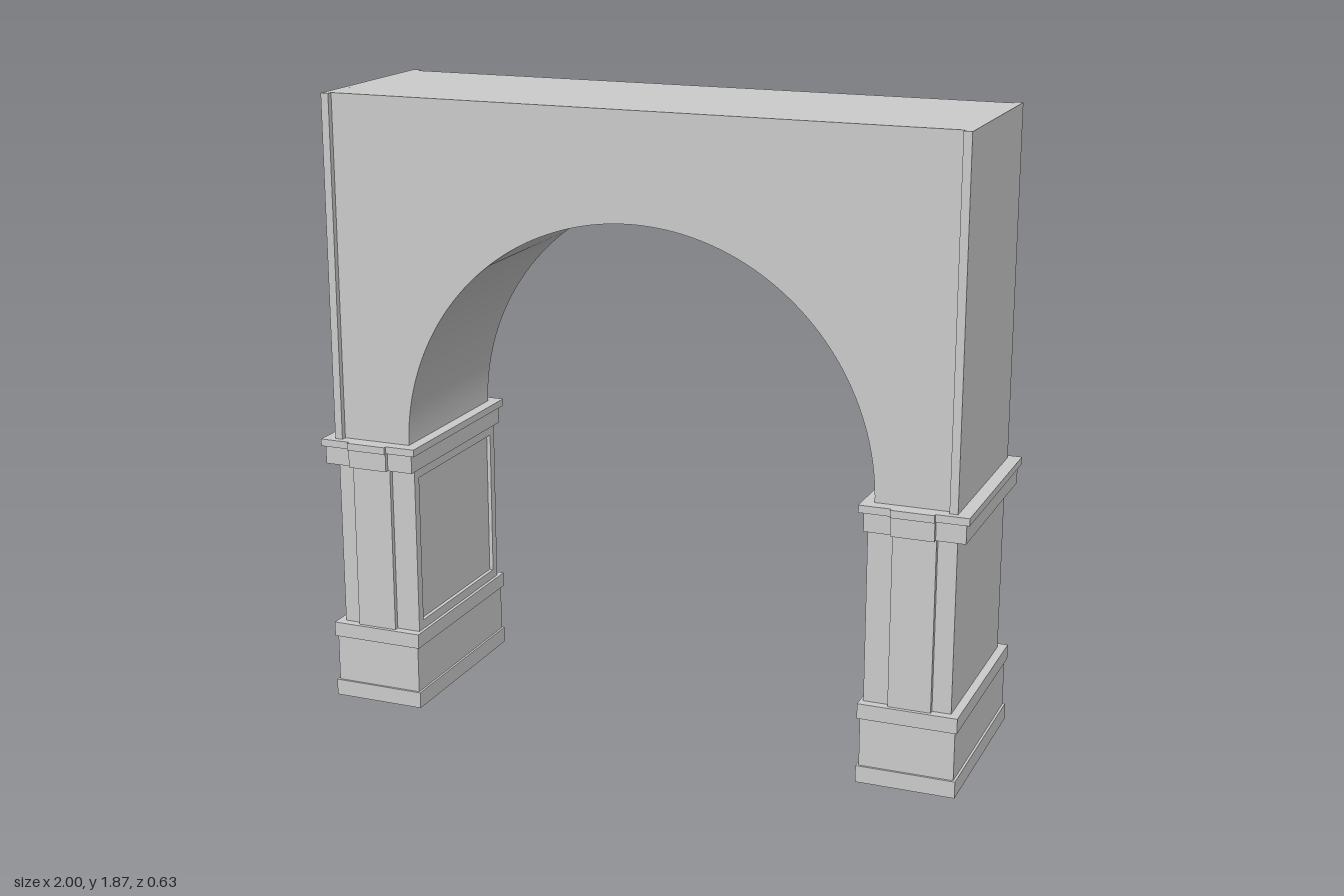
import * as THREE from 'three';
import { toCreasedNormals } from 'three/addons/utils/BufferGeometryUtils.js';

const material = new THREE.MeshStandardMaterial({ color: 0xcccccc });

// Box given by its x range, y range and half depth in z
function block(name, x0, x1, y0, y1, halfZ) {
  const mesh = new THREE.Mesh(new THREE.BoxGeometry(x1 - x0, y1 - y0, 2 * halfZ), material);
  mesh.position.set((x0 + x1) / 2, (y0 + y1) / 2, 0);
  mesh.name = name;
  return mesh;
}

// Wall pierced by a semicircular arch, springing from the pier caps
function archWall() {
  const w = 0.96, r = 0.722, spring = 0.83, top = 1.87, halfZ = 0.265;
  const shape = new THREE.Shape();
  shape.moveTo(-w, spring);
  shape.lineTo(-r, spring);
  shape.absarc(0, spring, r, Math.PI, 0, true);
  shape.lineTo(w, spring);
  shape.lineTo(w, top);
  shape.lineTo(-w, top);
  shape.closePath();
  const geo = new THREE.ExtrudeGeometry(shape, { depth: 2 * halfZ, bevelEnabled: false, curveSegments: 64 });
  geo.translate(0, 0, -halfZ);
  const mesh = new THREE.Mesh(toCreasedNormals(geo, 0.5), material);
  mesh.name = 'archWall';
  return mesh;
}

// Raised frame round the recessed panel on a pier's inner face
function panelFrame(x, depth, y0, y1, halfZ, border) {
  const shape = new THREE.Shape();
  shape.moveTo(-halfZ, y0);
  shape.lineTo(halfZ, y0);
  shape.lineTo(halfZ, y1);
  shape.lineTo(-halfZ, y1);
  shape.closePath();
  const a = halfZ - border, b0 = y0 + border, b1 = y1 - border;
  const hole = new THREE.Path();
  hole.moveTo(-a, b0);
  hole.lineTo(-a, b1);
  hole.lineTo(a, b1);
  hole.lineTo(a, b0);
  hole.closePath();
  shape.holes.push(hole);
  const geo = new THREE.ExtrudeGeometry(shape, { depth, bevelEnabled: false });
  geo.rotateY(Math.PI / 2);
  const mesh = new THREE.Mesh(geo, material);
  mesh.position.x = x;
  mesh.name = 'panelFrame';
  return mesh;
}

// One pier on the +x side
function pier(name) {
  const group = new THREE.Group();
  group.name = name;
  group.add(
    // plinth
    block('plinthFoot', 0.695, 0.985, 0, 0.05, 0.295),
    block('plinth', 0.702, 0.978, 0.05, 0.195, 0.288),
    block('plinthMoulding', 0.695, 0.985, 0.195, 0.24, 0.295),
    // shaft with recessed panel and a pilaster on front and back
    block('shaft', 0.717, 0.96, 0.24, 0.752, 0.268),
    panelFrame(0.705, 0.012, 0.24, 0.752, 0.268, 0.028),
    block('pilaster', 0.78, 0.905, 0.24, 0.752, 0.283),
    // stepped cap, breaking forward over the pilaster
    block('capBand', 0.70, 0.99, 0.752, 0.808, 0.294),
    block('capBandBreak', 0.78, 0.905, 0.752, 0.808, 0.307),
    block('capSlab', 0.687, 1.0, 0.808, 0.83, 0.303),
    block('capSlabBreak', 0.78, 0.905, 0.808, 0.83, 0.314),
    // narrow strip edging the wall above
    block('wallEndStrip', 0.938, 0.962, 0.83, 1.87, 0.283)
  );
  return group;
}

export function createModel() {
  const model = new THREE.Group();
  model.name = 'archway';
  const left = pier('leftPier');
  // The pier is symmetric in z, so a half turn gives its mirror image
  const right = pier('rightPier');
  right.rotation.y = Math.PI;
  model.add(archWall(), left, right);
  return model;
}
